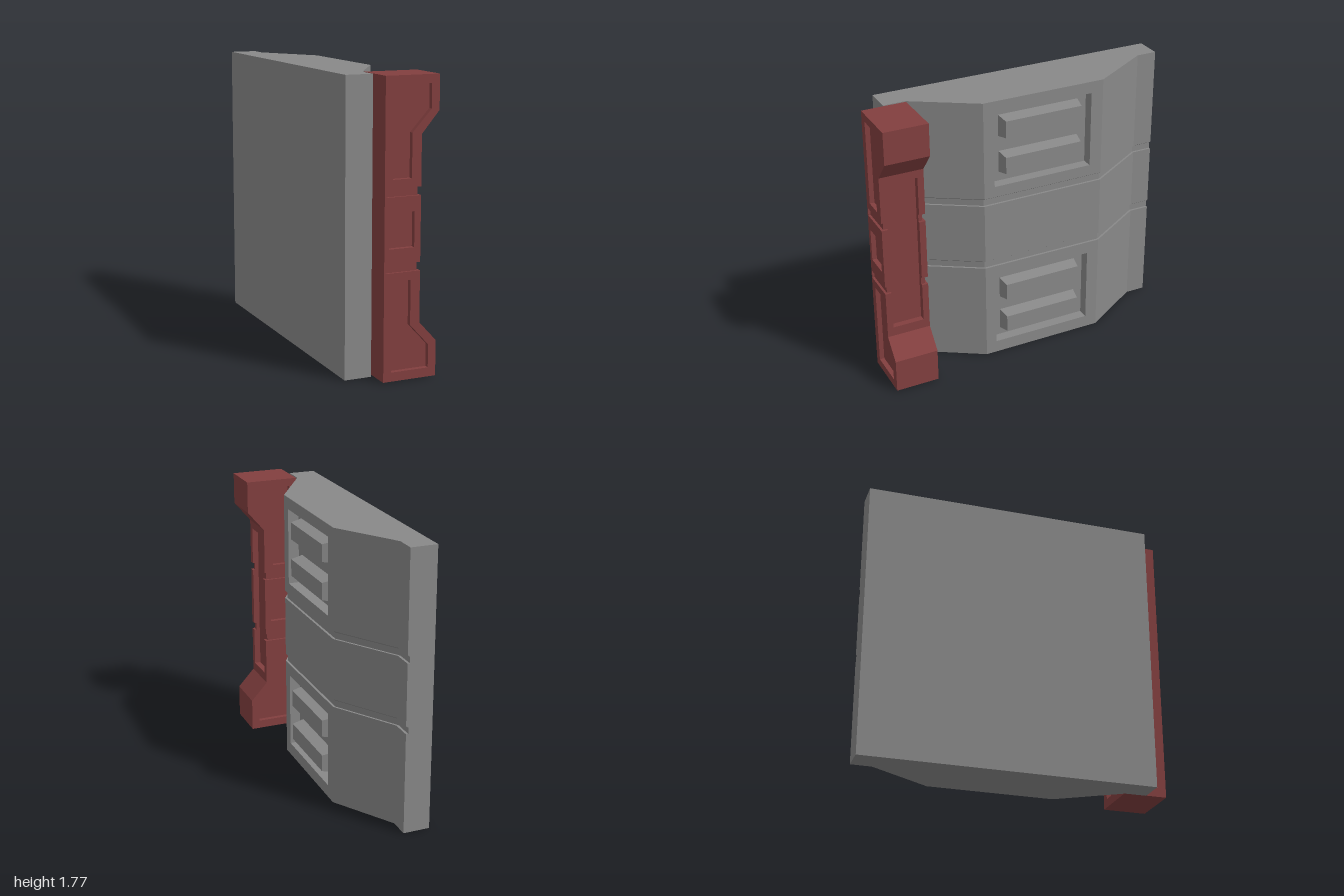
import * as THREE from 'three';
import { mergeGeometries } from 'three/addons/utils/BufferGeometryUtils.js';

const GROOVES = [[0.65, 0.7], [1.09, 1.14]];
const TOP = 1.775, FOOT = 0.005;
const GROOVE_DEPTH = 0.015;

const toPoints = pts => pts.map(p => new THREE.Vector2(...p));
const toShape = (pts, holes = []) => {
  const shape = new THREE.Shape(toPoints(pts));
  shape.holes = holes.map(h => new THREE.Path(toPoints(h)));
  return shape;
};
const extrude = (shape, depth) => new THREE.ExtrudeGeometry(shape, { depth, bevelEnabled: false });
const rect = (x0, y0, x1, y1) => [[x0, y0], [x1, y0], [x1, y1], [x0, y1]];

// Horizontal slice of the wall panel, from y0 to y1, in plan
function wallSlice(y0, y1, pocket = false) {
  const plan = [[-0.26, 0.86], [-0.26, -1], [-0.09, -1], [-0.09, -0.87], [0.15, -0.48]];
  if (pocket) plan.push([0.15, -0.4], [0.08, -0.4], [0.08, 0.26], [0.15, 0.26]);
  plan.push([0.15, 0.33], [-0.09, 0.72], [-0.09, 0.86]);
  return extrude(toShape(plan.map(([x, z]) => [x, -z])), y1 - y0)
    .rotateX(-Math.PI / 2).translate(0, y0, 0);
}

// Slice pushed back to form a groove, fading out behind the post;
// with a slope its upper edge stays flush
function grooveSlice(y0, y1, slope = false) {
  const g = wallSlice(y0, y1);
  const p = g.attributes.position, middle = (y0 + y1) / 2;
  for (let i = 0; i < p.count; i++) {
    const flush = p.getX(i) < -0.2 || p.getZ(i) > 0.8 || (slope && p.getY(i) > middle);
    if (!flush) p.setX(i, p.getX(i) - GROOVE_DEPTH);
  }
  g.computeVertexNormals();
  return g;
}

// Tapered vent slat, narrower at its outer face
function slatGeometry() {
  const g = new THREE.BoxGeometry(0.08, 0.14, 0.54);
  const p = g.attributes.position;
  for (let i = 0; i < p.count; i++) {
    if (p.getX(i) > 0) p.setXYZ(i, p.getX(i), p.getY(i) * 0.78, p.getZ(i) * 0.95);
  }
  g.computeVertexNormals();
  return g;
}

// Side profile of the post, either with the long recess or with groove notches
function postProfile(recessed) {
  const edge = [[0.26, FOOT], [0.26, 0.22], [0.15, 0.34]];
  if (recessed) {
    edge.push([0.15, 0.4], [0.11, 0.4], [0.11, 1.39], [0.15, 1.39]);
  } else {
    const x = 0.15 - GROOVE_DEPTH;
    for (const [a, b] of GROOVES) edge.push([0.15, a], [x, a], [x, b], [0.15, b]);
  }
  return [...edge, [0.15, 1.44], [0.26, 1.57], [0.26, TOP], [-0.08, TOP], [-0.08, FOOT]];
}

export function createModel() {
  const group = new THREE.Group();
  const grey = new THREE.MeshStandardMaterial({ color: 0x888888, flatShading: true });
  const red = new THREE.MeshStandardMaterial({ color: 0x823f3f, flatShading: true });
  const add = (geometry, material, name) => {
    const mesh = new THREE.Mesh(geometry, material);
    mesh.name = name;
    group.add(mesh);
    return mesh;
  };

  // Wall panel: stacked slices with two grooves and two vent pockets
  const slices = [
    wallSlice(0, 0.08),
    wallSlice(0.08, 0.57, true),
    wallSlice(0.57, 0.65),
    wallSlice(0.7, 1.09),
    wallSlice(1.14, 1.21),
    wallSlice(1.21, 1.7, true),
    wallSlice(1.7, TOP),
  ];
  for (const [a, b] of GROOVES) {
    slices.push(grooveSlice(a, b - 0.01), grooveSlice(b - 0.01, b, true));
  }
  add(mergeGeometries(slices), grey, 'wallPanel');

  // Vent slats
  const slat = slatGeometry();
  for (const y of [0.2, 0.44, 1.34, 1.58]) {
    add(slat, grey, 'ventSlat').position.set(0.12, y, -0.07);
  }

  // Sunken panels on the two broad sides of the post
  const insets = [
    [[-0.03, 0.06], [0.21, 0.06], [0.21, 0.2], [0.09, 0.33], [0.09, 0.6], [-0.03, 0.6]],
    rect(-0.05, 0.79, 0.11, 1.0),
    [[-0.03, 1.19], [0.09, 1.19], [0.09, 1.45], [0.21, 1.58], [0.21, 1.725], [-0.03, 1.725]],
  ];
  // Outer blocks of the post between the grooves
  const blocks = [
    [[-0.08, FOOT], [0.26, FOOT], [0.26, 0.22], [0.15, 0.34], [0.15, 0.65], [-0.08, 0.65]],
    rect(-0.08, 0.7, 0.15, 1.09),
    [[-0.08, 1.14], [0.15, 1.14], [0.15, 1.44], [0.26, 1.57], [0.26, TOP], [-0.08, TOP]],
  ];

  // Post: layers across its thickness, mirrored about its middle
  const postMid = 0.86, layers = [];
  const layer = (shape, from, to) => {
    layers.push(extrude(shape, to - from).translate(0, 0, postMid + from));
    if (from > 0) layers.push(extrude(shape, to - from).translate(0, 0, postMid - to));
  };
  layer(toShape(postProfile(true)), -0.1, 0.1);
  layer(toShape(postProfile(false)), 0.1, 0.11);
  layer(toShape(postProfile(false), insets), 0.11, 0.125);
  blocks.forEach((b, i) => layer(toShape(b, [insets[i]]), 0.125, 0.14));
  // Thin back edge that closes the grooves
  for (const [a, b] of GROOVES) layer(toShape(rect(-0.08, a, -0.07, b)), 0.125, 0.14);
  add(mergeGeometries(layers), red, 'post');

  return group;
}
